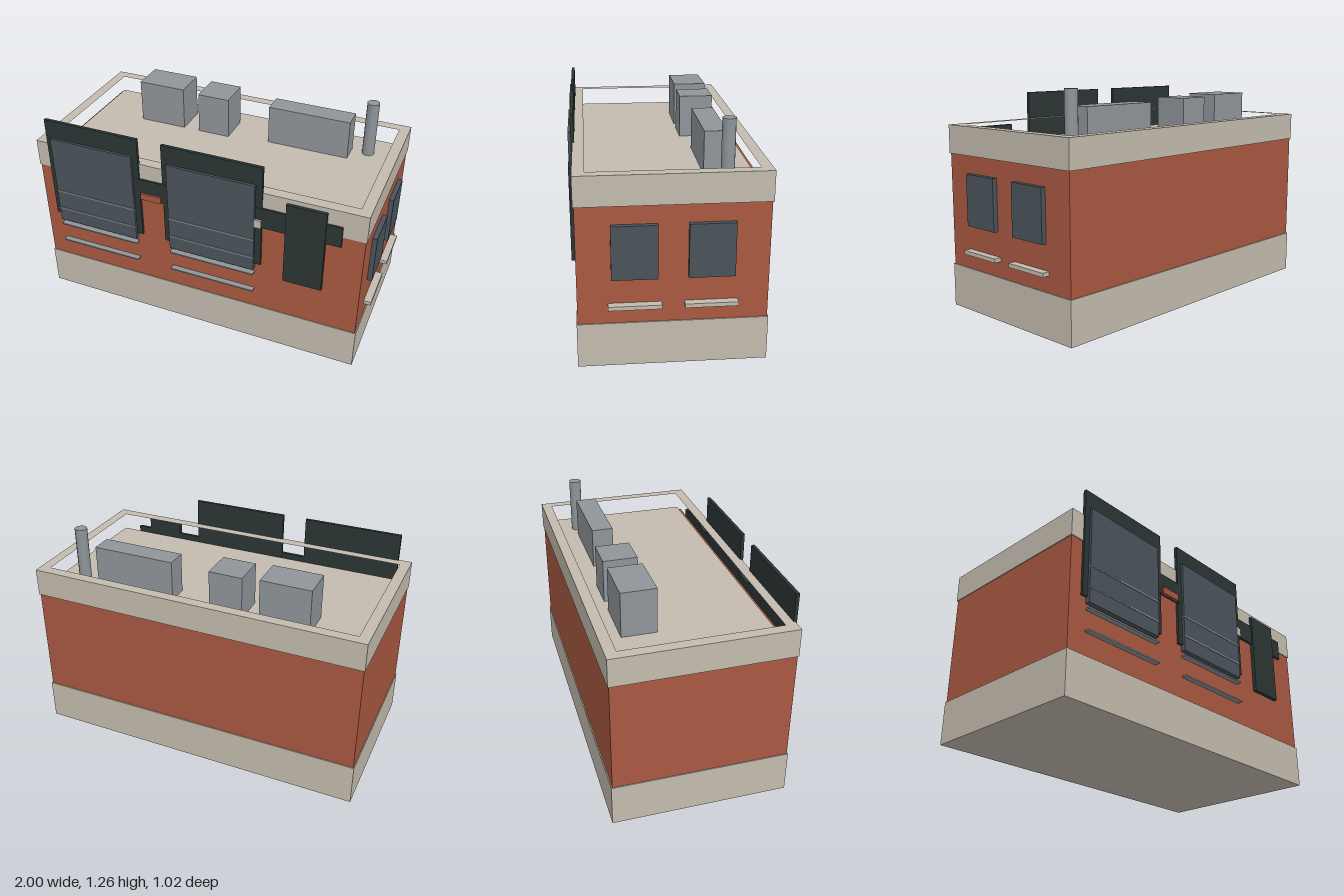
import * as THREE from 'three';

const mat = (name, color) => Object.assign(new THREE.MeshStandardMaterial({ color }), { name });

export function createModel() {
  const stone = mat('stone', 0xc3bbae);
  const brick = mat('brick', 0xa95941);
  const dark = mat('dark frame', 0x2c3534);
  const glass = mat('slate panel', 0x4a535b);
  const metal = mat('grey metal', 0x8f959a);

  const model = new THREE.Group();
  model.name = 'building';

  // Box from its limits on each axis
  const box = (name, material, [x0, x1], [y0, y1], [z0, z1]) => {
    const mesh = new THREE.Mesh(new THREE.BoxGeometry(x1 - x0, y1 - y0, z1 - z0), material);
    mesh.position.set((x0 + x1) / 2, (y0 + y1) / 2, (z0 + z1) / 2);
    mesh.name = name;
    model.add(mesh);
    return mesh;
  };

  // Walls: stone base, slightly inset brick, sunken roof
  const X = [-1, 0.964], Z = [-0.508, 0.481];
  box('base', stone, X, [0, 0.245], Z);
  box('brickWalls', brick, [-0.995, 0.958], [0.24, 0.9], [-0.502, 0.476]);
  box('roofDeck', stone, [-0.96, 0.93], [0.89, 0.93], [-0.47, 0.44]);

  // Parapet ring
  const rect = (path, x0, x1, z0, z1) =>
    path.setFromPoints([[x0, z0], [x1, z0], [x1, z1], [x0, z1]].map(([x, z]) => new THREE.Vector2(x, -z)));
  const ring = rect(new THREE.Shape(), ...X, ...Z);
  ring.holes.push(rect(new THREE.Path(), -0.94, 0.904, -0.448, 0.419));
  const parapet = new THREE.Mesh(
    new THREE.ExtrudeGeometry(ring, { depth: 0.16, bevelEnabled: false }).rotateX(-Math.PI / 2), stone);
  parapet.position.y = 0.882;
  parapet.name = 'parapet';
  model.add(parapet);

  // Roof units and flue
  box('roofUnitLarge', metal, [-0.655, -0.365], [0.92, 1.188], [-0.357, -0.162]);
  box('roofUnitSmall', metal, [-0.265, -0.07], [0.92, 1.177], [-0.357, -0.162]);
  box('roofDuct', metal, [0.175, 0.665], [0.92, 1.164], [-0.322, -0.199]);
  const flue = new THREE.Mesh(new THREE.CylinderGeometry(0.036, 0.036, 0.34, 12), metal);
  flue.position.set(0.763, 1.09, -0.308);
  flue.name = 'flue';
  model.add(flue);

  // Two shop fronts: dark frame, slate panel and thin slats
  for (const x of [-0.92, -0.19]) {
    box('shopFrame', dark, [x, x + 0.585], [0.565, 1.2], [0.471, 0.49]);
    const span = [x + 0.034, x + 0.548];
    box('shopPanel', glass, span, [0.528, 1.09], [0.475, 0.505]);
    for (const y of [0.74, 0.617, 0.497, 0.375])
      box('slat', metal, span, [y - 0.004, y + 0.004], [0.474, 0.509]);
  }

  // Sign band, small boards on it, and the door
  box('signBand', dark, [-0.4, 0.835], [0.823, 0.948], [0.472, 0.492]);
  box('brickBoard', brick, [-0.325, -0.2], [0.823, 0.862], [0.474, 0.504]);
  box('stoneBoard', stone, [0, 0.395], [0.823, 0.874], [0.474, 0.503]);
  box('door', dark, [0.53, 0.75], [0.505, 1.015], [0.472, 0.499]);

  // Side windows with sills
  for (const z of [0.184, -0.206]) {
    box('sideWindow', glass, [0.95, 0.985], [0.495, 0.785], [z - 0.118, z + 0.118]);
    box('windowSill', stone, [0.95, 1], [0.335, 0.357], [z - 0.137, z + 0.137]);
  }
  return model;
}
